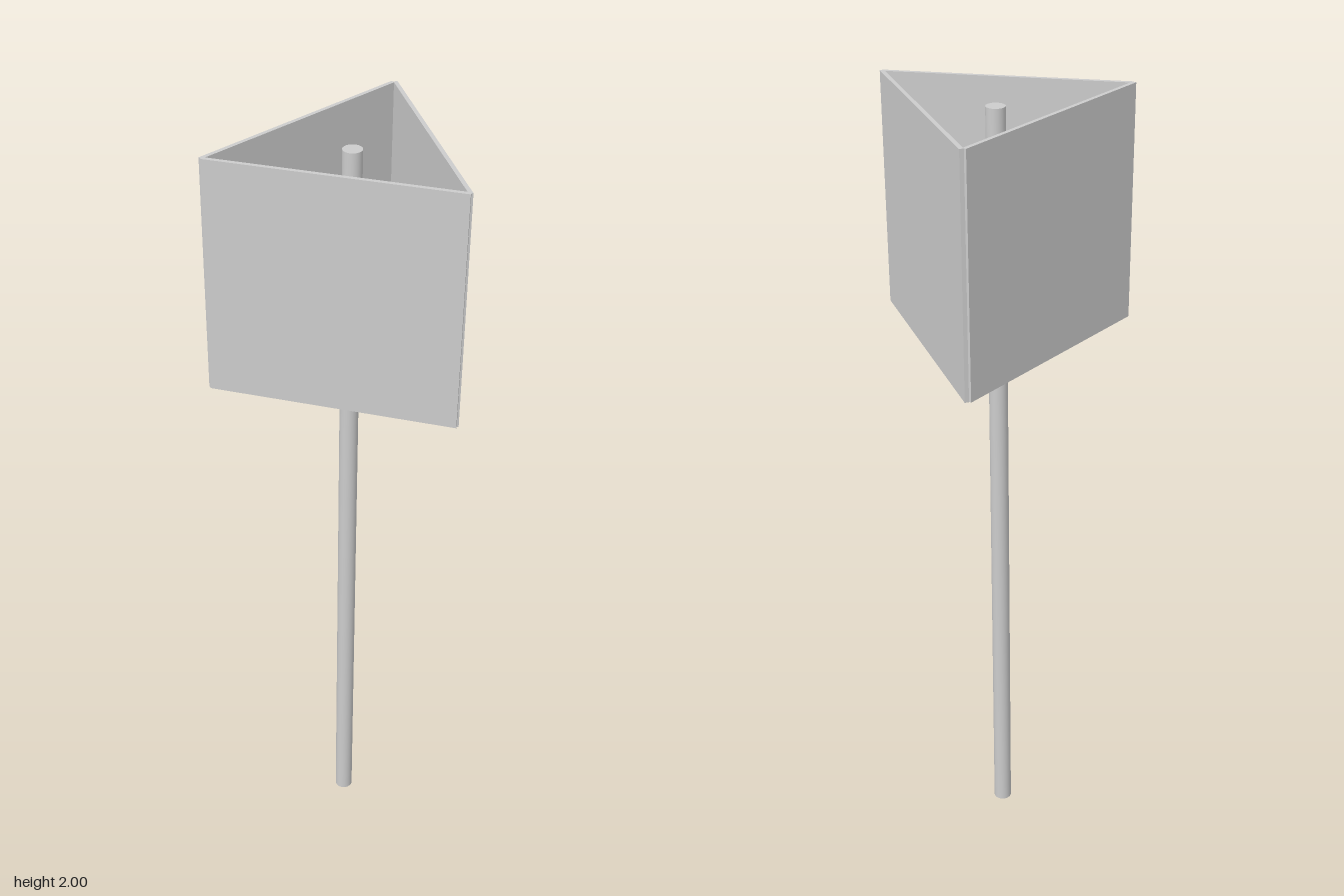
import * as THREE from 'three';

export function createModel() {
  const group = new THREE.Group();
  const material = new THREE.MeshStandardMaterial({ color: 0xcccccc });

  // Slim round post, ending just under the rim of the panels
  const postHeight = 1.983;
  const post = new THREE.Mesh(new THREE.CylinderGeometry(0.023, 0.023, postHeight, 32), material);
  post.name = 'post';
  post.position.set(0.077, postHeight / 2, 0.001);
  group.add(post);

  // Three thin panels forming an open triangular prism
  const panelHeight = 0.58;
  const panelGeometry = new THREE.BoxGeometry(0.587, panelHeight, 0.01);
  const panels = [
    ['leftPanel', 0.253, 0.001, 90],
    ['backPanel', -0.006, -0.143, 30.5],
    ['frontPanel', -0.002, 0.15, -29.5],
  ];
  for (const [name, x, z, degrees] of panels) {
    const panel = new THREE.Mesh(panelGeometry, material);
    panel.name = name;
    panel.position.set(x, 2 - panelHeight / 2, z);
    panel.rotation.y = THREE.MathUtils.degToRad(degrees);
    group.add(panel);
  }

  return group;
}
